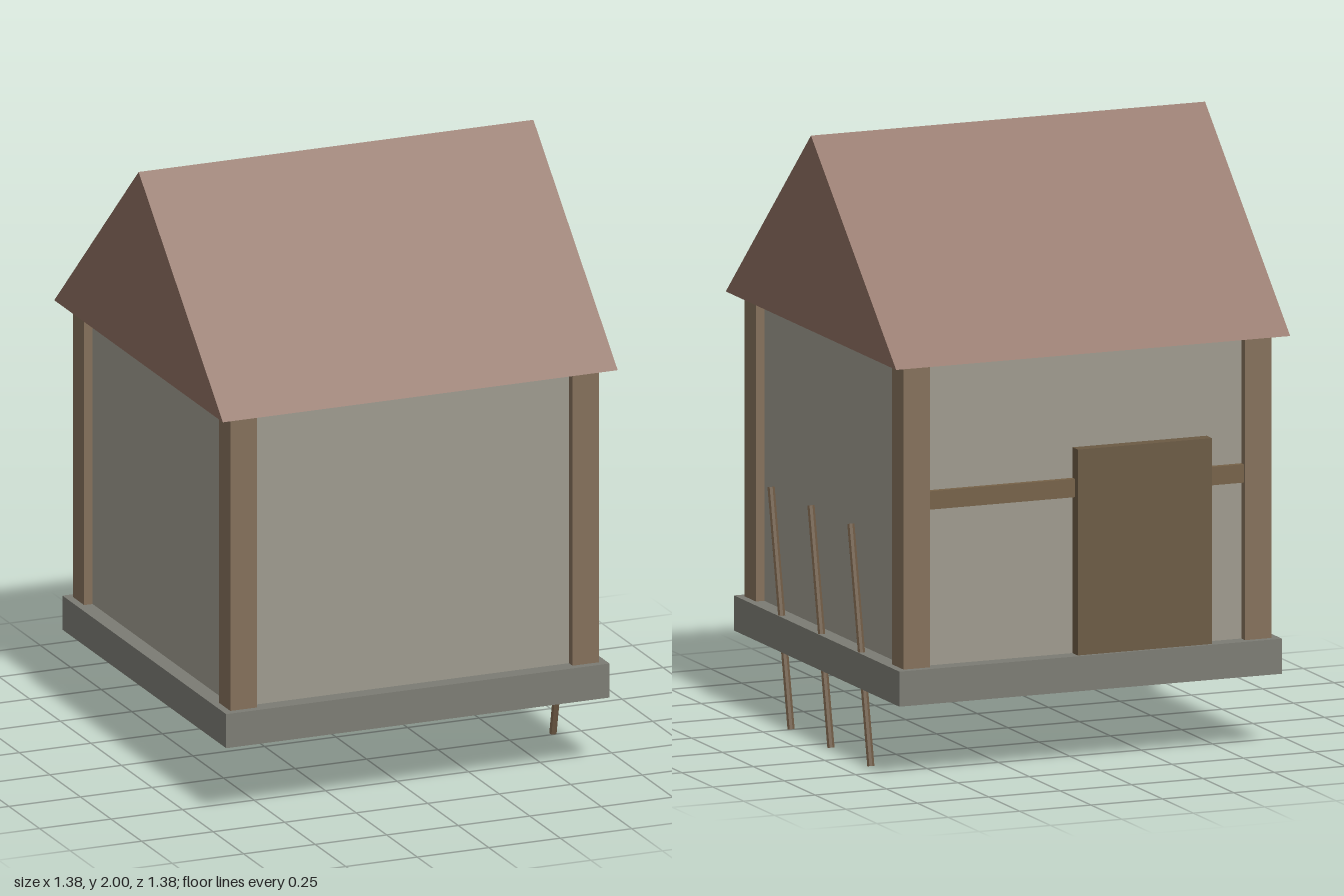
import * as THREE from 'three';

const material = (color) => new THREE.MeshStandardMaterial({ color, flatShading: true });
const ROOF = material(0x8d6e60);
const PLASTER = material(0x9e9a8e);
const STONE = material(0x7c7c74);
const TIMBER = material(0x84705a);
const BEAM = material(0x766248);
const DOOR = material(0x6b5a44);
const POLE = material(0x6e5a44);

export function createModel() {
  const house = new THREE.Group();
  house.name = 'house';

  const add = (name, geometry, mat, x, y, z) => {
    const mesh = new THREE.Mesh(geometry, mat);
    mesh.name = name;
    mesh.position.set(x, y, z);
    house.add(mesh);
    return mesh;
  };
  // Box given by its minimum and maximum corners
  const box = (name, mat, [x0, y0, z0], [x1, y1, z1]) =>
    add(name, new THREE.BoxGeometry(x1 - x0, y1 - y0, z1 - z0), mat,
      (x0 + x1) / 2, (y0 + y1) / 2, (z0 + z1) / 2);

  // Stone slab and plastered walls
  box('foundation', STONE, [-0.67, 0.25, -0.67], [0.67, 0.365, 0.67]);
  box('walls', PLASTER, [-0.615, 0.365, -0.615], [0.615, 1.36, 0.615]);

  // Corner posts
  for (const sx of [-1, 1]) {
    for (const sz of [-1, 1]) {
      add('cornerPost', new THREE.BoxGeometry(0.093, 0.995, 0.093), TIMBER,
        sx * 0.598, 0.8625, sz * 0.598);
    }
  }

  // Gabled roof: solid prism with its ridge along x
  const gable = new THREE.Shape([
    new THREE.Vector2(-0.69, 1.36),
    new THREE.Vector2(0.69, 1.36),
    new THREE.Vector2(0, 2),
  ]);
  const roofGeometry = new THREE.ExtrudeGeometry(gable, { depth: 1.38, bevelEnabled: false });
  roofGeometry.translate(0, 0, -0.69).rotateY(Math.PI / 2);
  add('roof', roofGeometry, ROOF, 0, 0, 0);

  // Back wall: cross beam and door
  box('crossBeam', BEAM, [-0.56, 0.88, -0.635], [0.56, 0.94, -0.605]);
  box('door', DOOR, [-0.43, 0.365, -0.658], [0.04, 1.04, -0.61]);

  // Slanted poles leaning along the left side
  const tilt = Math.atan2(0.163, 0.77);
  for (const z of [0.323, 0, -0.323]) {
    const pole = add('leaningPole', new THREE.CylinderGeometry(0.0125, 0.0125, 0.782, 8), POLE,
      0.655, 0.387, z);
    pole.rotation.x = tilt;
  }

  return house;
}
